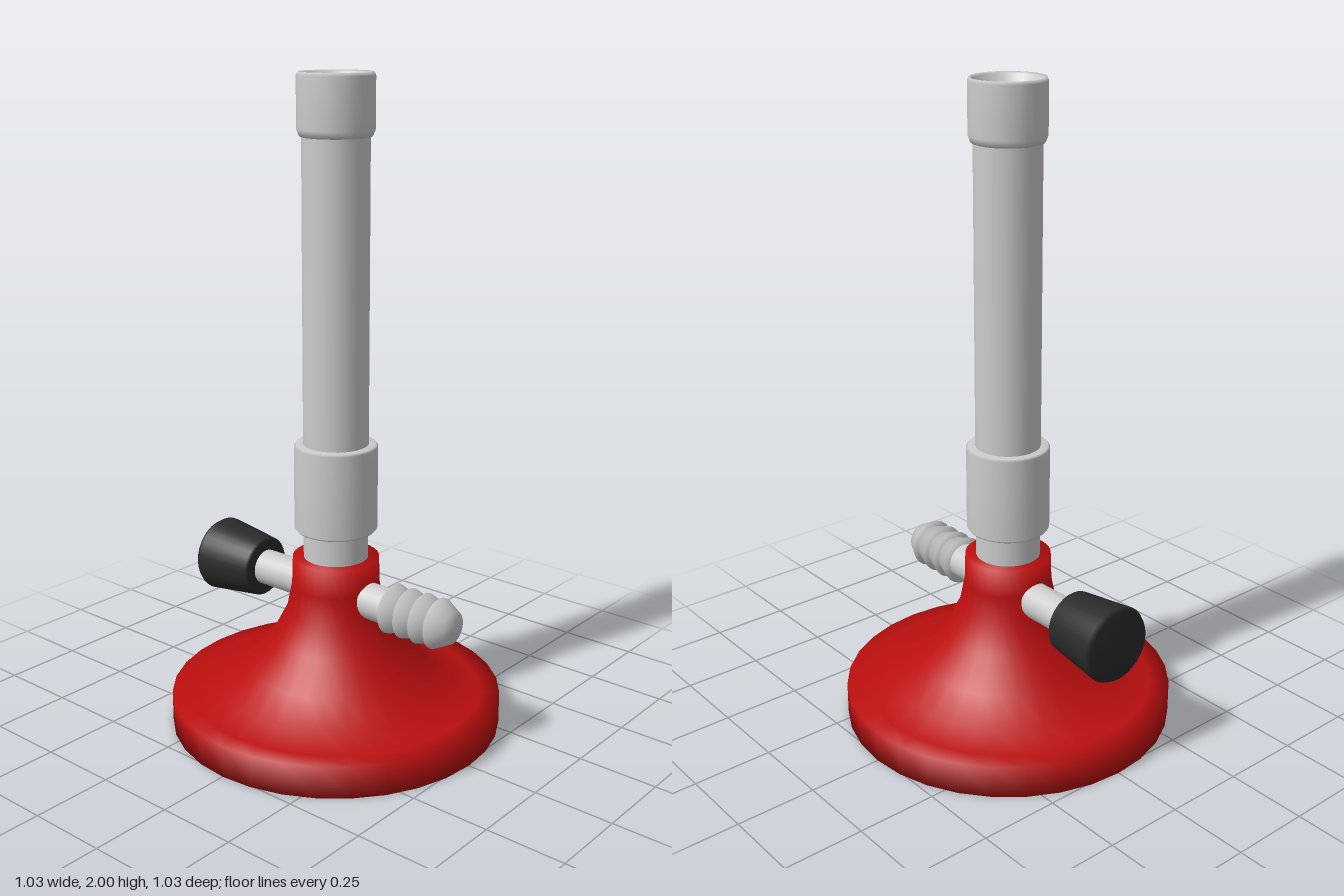
import * as THREE from 'three';

const metal = new THREE.MeshStandardMaterial({ color: 0xcccccc });
const red = new THREE.MeshStandardMaterial({ color: 0xbb0f0f });
const black = new THREE.MeshStandardMaterial({ color: 0x2a2a2a });

const SIDE_HEIGHT = 0.425; // height of the gas inlet and valve axis

// Solid of revolution from [radius, height] pairs, listed bottom to top
function turned(name, profile, material, sides = 32) {
  const points = profile.map(([r, y]) => new THREE.Vector2(r, y));
  const mesh = new THREE.Mesh(new THREE.LatheGeometry(points, sides), material);
  mesh.name = name;
  return mesh;
}

// The same, laid on its side so that the profile height runs along +x
function turnedSideways(name, profile, material, sides) {
  const mesh = turned(name, profile, material, sides);
  mesh.rotation.z = -Math.PI / 2;
  mesh.position.y = SIDE_HEIGHT;
  return mesh;
}

export function createModel() {
  const group = new THREE.Group();
  group.name = 'gasBurner';

  // Round foot flaring up into a neck
  group.add(turned('base', [
    [0, 0], [0.517, 0], [0.517, 0.1], [0.455, 0.1], [0.365, 0.13], [0.28, 0.19],
    [0.2, 0.28], [0.153, 0.37], [0.137, 0.45], [0.134, 0.54], [0, 0.54],
  ], red));

  // Upright barrel
  group.add(turned('barrel', [[0.1, 0.5], [0.1, 1.86]], metal));

  // Air control collar
  group.add(turned('airCollar', [
    [0.09, 0.63], [0.122, 0.63], [0.128, 0.637], [0.128, 0.897], [0.122, 0.904], [0.09, 0.904],
  ], metal));

  // Mouth with a shallow dished opening
  group.add(turned('mouth', [
    [0.09, 1.815], [0.106, 1.82], [0.114, 1.84], [0.114, 1.99], [0.11, 2],
    [0.1, 1.995], [0.085, 1.96], [0.07, 1.945], [0, 1.94],
  ], metal));

  // Valve stem and tapered knob on the right
  group.add(turnedSideways('valveStem', [[0.056, -0.31], [0.056, 0]], metal, 24));
  group.add(turnedSideways('valveKnob', [
    [0, -0.5], [0.11, -0.5], [0.119, -0.485], [0.096, -0.302], [0.088, -0.295], [0, -0.295],
  ], black));

  // Gas inlet on the left with four hose barbs
  group.add(turnedSideways('gasInlet', [[0.056, 0], [0.056, 0.24]], metal, 24));
  for (let i = 0; i < 4; i++) {
    const x = 0.226 + i * 0.056;
    const tip = i === 3 ? 0.05 : 0.06;
    group.add(turnedSideways('hoseBarb' + (i + 1), [
      [0, x], [0.078, x], [tip, x + 0.054], [0, x + 0.054],
    ], metal, 24));
  }

  return group;
}
